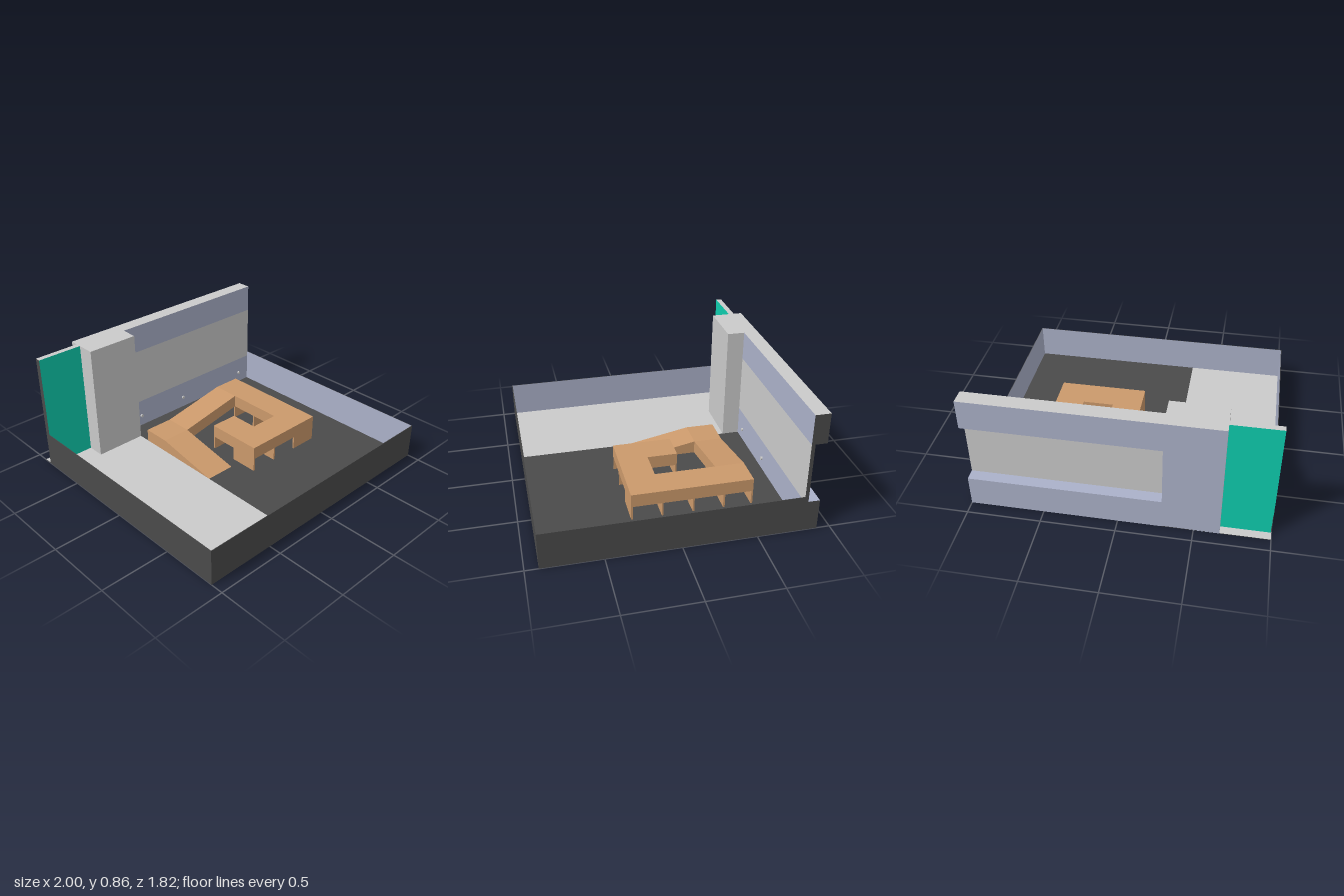
import * as THREE from 'three';

const mat = (name, color) => {
  const m = new THREE.MeshStandardMaterial({ color });
  m.name = name;
  return m;
};

export function createModel() {
  const light = mat('light grey', 0xcacaca);
  const dark = mat('charcoal', 0x4a4a4a);
  const blue = mat('blue grey', 0xabb1c9);
  const wood = mat('wood', 0xcb996b);
  const teal = mat('teal', 0x0eccae);
  const model = new THREE.Group();

  // Box from ranges; material is one, or [+x, -x, top, bottom, +z, -z]
  function box(name, [x0, x1], [y0, y1], [z0, z1], material, parent = model) {
    const mesh = new THREE.Mesh(new THREE.BoxGeometry(x1 - x0, y1 - y0, z1 - z0), material);
    mesh.position.set((x0 + x1) / 2, (y0 + y1) / 2, (z0 + z1) / 2);
    mesh.name = name;
    parent.add(mesh);
    return mesh;
  }

  const T = 0.004, H = 0.26, F = 0.91, W = -0.805, S = -0.29, C = -0.67, TOP = 0.86;

  // Two-tone floor
  box('lightFloor', [-1, S], [0, T], [-F, F], [dark, dark, light, dark, dark, dark]);
  box('darkFloor', [S, 1], [0, T], [W, F], dark);

  // Low outer walls, charcoal outside and blue grey inside
  box('frontWall', [-1, 1], [0, H], [F - T, F], [dark, dark, dark, dark, dark, blue]);
  box('leftWall', [1 - T, 1], [0, H], [W, F - T], [dark, blue, dark, dark, dark, dark]);
  box('rightWall', [-1, -1 + T], [0, H], [-0.85, F - T], [blue, dark, dark, dark, dark, dark]);

  // Tall back wall with a long recess on its rear side
  const beam = [dark, light, light, blue, blue, blue];
  box('backWallUpperBeam', [S, 1], [0.65, TOP], [-F, W], beam);
  box('backWallLowerBeam', [S, 1], [0, 0.22], [-F, W], [dark, light, blue, dark, blue, blue]);
  box('backWallPanel', [S, 1], [0.22, 0.65], [-0.83, W], [dark, light, light, light, light, light]);
  box('backWallColumn', [C, S], [0, TOP], [-F, W], [light, light, light, dark, light, blue]);
  box('pilaster', [C, S], [T, TOP], [W, -0.68], light);
  box('tealPanel', [-1, C], [T, TOP], [-0.85, -0.81], [light, dark, light, dark, teal, teal]);

  // Small round fittings low on the back wall
  for (const x of [-0.18, 0.25, 0.89]) {
    const knob = new THREE.Mesh(new THREE.CylinderGeometry(0.012, 0.012, 0.012, 16), light);
    knob.rotation.x = Math.PI / 2;
    knob.position.set(x, 0.09, W + 0.006);
    knob.name = 'wallFitting';
    model.add(knob);
  }

  // Spiral ramp and platform
  const spiral = new THREE.Group();
  spiral.name = 'spiralRamp';
  model.add(spiral);
  const deckTop = 0.2, deckLow = 0.105, landing = 0.1;
  const prism = (name, points, depth) => {
    const shape = new THREE.Shape(points.map(p => new THREE.Vector2(...p)));
    const geo = new THREE.ExtrudeGeometry(shape, { depth, bevelEnabled: false });
    const mesh = new THREE.Mesh(geo, wood);
    mesh.name = name;
    spiral.add(mesh);
    return mesh;
  };
  // First slope rises towards the back wall
  const entry = prism('entryRamp', [[-0.11, T], [0.38, T], [0.38, landing]], 0.22);
  entry.rotation.y = Math.PI / 2;
  entry.position.x = S;
  box('landing', [S, -0.07], [T, landing], [-0.59, -0.38], wood, spiral);
  // Second slope rises towards +x
  prism('upperRamp', [[-0.07, T], [0.44, deckLow], [0.44, deckTop], [-0.07, landing]], 0.21)
    .position.z = -0.59;
  // Raised platform runs
  const deckY = [deckLow, deckTop];
  box('platformSide', [0.44, 0.65], deckY, [-0.59, 0.26], wood, spiral);
  box('platformFront', [0.01, 0.44], deckY, [0.05, 0.26], wood, spiral);
  box('platformEnd', [0.01, 0.22], deckY, [-0.165, 0.05], wood, spiral);
  // Upright supports at each module
  const legY = [T, deckLow], t = 0.012;
  for (const z of [0.26, 0.05, -0.165, -0.38, -0.578])
    box('sideSupport', [0.44, 0.65], legY, [z - t, z], wood, spiral);
  for (const x of [0.01, 0.22])
    box('frontSupport', [x, x + t], legY, [0.05, 0.26], wood, spiral);
  box('endSupport', [0.01, 0.22], legY, [-0.165, -0.165 + t], wood, spiral);

  return model;
}
